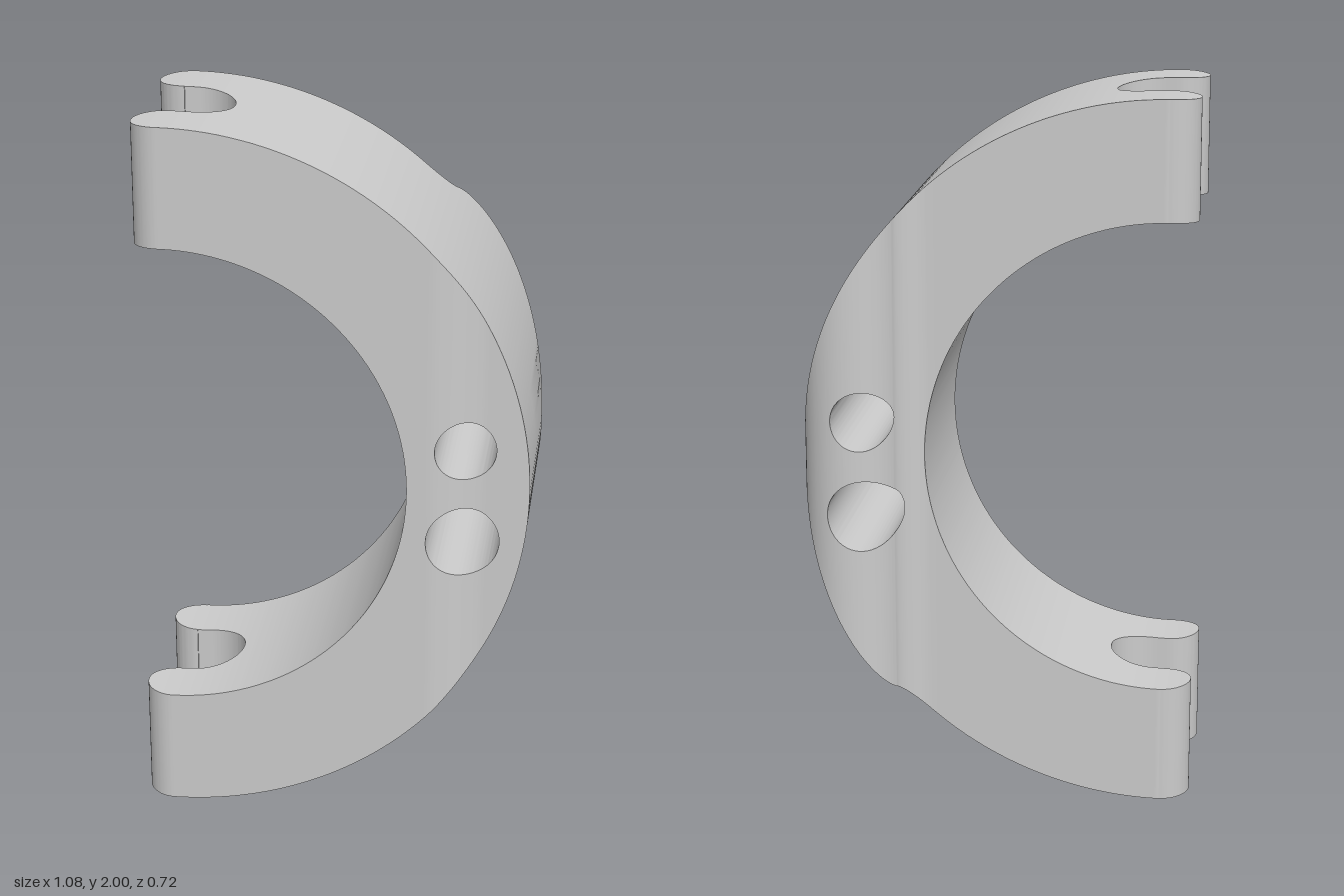
import * as THREE from 'three';
import { toCreasedNormals } from 'three/addons/utils/BufferGeometryUtils.js';

// circles seen from the front (x, y)
const OUTER = { x: -0.46, y: 1, r: 1 };
const INNER = { x: -0.46, y: 1, r: 0.667 };
const HOLES = [{ x: 0.365, y: 1.12, r: 0.083 }, { x: 0.36, y: 0.851, r: 0.1 }];
// circles seen from above (x, z)
const TIP_FRONT = { x: -0.457, y: 0.272, r: 0.083 };
const TIP_BACK = { x: -0.457, y: -0.1415, r: 0.083 };
const SLOT = { x: -0.418, y: 0.066, r: 0.123 };
const BUMP = { x: 0.404, y: -0.226, r: 0.136 };
const FILLET = { x: 0.19, y: -0.328, r: 0.102 };
const FILLET_END = 0.282;

// half height of a circle at x
const half = (c, x) => Math.sqrt(Math.max(0, c.r * c.r - (x - c.x) ** 2));

// front and back outline in z, and the slot between the prongs
function frontZ(x) {
  if (x < TIP_FRONT.x) return TIP_FRONT.y + half(TIP_FRONT, x);
  return 0.355 - 0.035 * THREE.MathUtils.smoothstep(x, 0.265, 0.42);
}
function backZ(x) {
  if (x < TIP_BACK.x) return TIP_BACK.y - half(TIP_BACK, x);
  if (x < FILLET.x) return -0.2255;
  if (x < FILLET_END) return FILLET.y + half(FILLET, x);
  return BUMP.y - half(BUMP, x);
}
function slotZ(x) {
  if (x < TIP_FRONT.x) return [TIP_BACK.y + half(TIP_BACK, x), TIP_FRONT.y - half(TIP_FRONT, x)];
  const h = x < SLOT.x ? SLOT.r : half(SLOT, x);
  return [SLOT.y - h, SLOT.y + h];
}

// x stations, evenly spaced in angle along every arc
function stations() {
  const xs = [FILLET.x, FILLET_END, TIP_FRONT.x, SLOT.x, -0.54, 0.54];
  const arc = (c, n) => {
    for (let i = 0; i <= n; i++) xs.push(c.x + c.r * Math.cos((Math.PI * i) / n));
  };
  arc(OUTER, 96);
  arc(INNER, 72);
  HOLES.forEach((h) => arc(h, 28));
  [TIP_FRONT, SLOT, BUMP].forEach((c) => arc(c, 28));
  for (let i = 0; i <= 12; i++) xs.push(0.19 + (0.23 * i) / 12);
  xs.sort((a, b) => a - b);
  const out = [];
  for (const x of xs) {
    if (x < -0.5401 || x > 0.5401) continue;
    if (!out.length || x - out[out.length - 1] > 1e-6) out.push(x);
  }
  return out;
}

// solid y spans at x: the outer circle minus the given openings
function spansY(x, gaps) {
  const h = half(OUTER, x);
  const clamp = (y) => Math.min(1 + h, Math.max(1 - h, y));
  const ys = [1 + h];
  for (const g of gaps) ys.push(clamp(g.y + half(g, x)), clamp(g.y - half(g, x)));
  ys.push(1 - h);
  const spans = [];
  for (let i = 0; i < ys.length; i += 2) spans.push([ys[i + 1], ys[i]]);
  return spans;
}
// solid z spans at x: back prong, front prong
function spansZ(x) {
  const [s0, s1] = slotZ(x);
  return [[backZ(x), s0], [s1, frontZ(x)]];
}

function clampGeometry() {
  const pos = [];
  const tri = (a, b, c) => {
    const u = new THREE.Vector3().subVectors(b, a);
    const v = new THREE.Vector3().subVectors(c, a);
    if (u.cross(v).lengthSq() < 1e-20) return;
    for (const p of [a, b, c]) pos.push(p.x, p.y, p.z);
  };
  const quad = (a, b, c, d) => { tri(a, b, c); tri(a, c, d); };
  const xs = stations();

  for (let i = 0; i + 1 < xs.length; i++) {
    const x = [xs[i], xs[i + 1]];
    const gaps = (x[0] + x[1]) / 2 < INNER.x + INNER.r ? [INNER] : HOLES;
    const Y = x.map((v) => spansY(v, gaps));
    const Z = x.map(spansZ);
    // an opening that is closed at both stations needs no wall
    const open = (S, hi, lo) =>
      !S[0][hi] || !S[0][lo] || [0, 1].some((k) => Math.abs(S[k][hi][0] - S[k][lo][1]) > 1e-6);

    for (let j = 0; j < Y[0].length; j++) {
      for (let k = 0; k < 2; k++) {
        const P = (s, yy, zz) => new THREE.Vector3(x[s], Y[s][j][yy], Z[s][k][zz]);
        // walls facing up and down
        if (open(Y, j - 1, j)) quad(P(0, 1, 0), P(0, 1, 1), P(1, 1, 1), P(1, 1, 0));
        if (open(Y, j, j + 1)) quad(P(0, 0, 0), P(1, 0, 0), P(1, 0, 1), P(0, 0, 1));
        // walls facing front and back
        if (open(Z, k + 1, k)) quad(P(0, 0, 1), P(1, 0, 1), P(1, 1, 1), P(0, 1, 1));
        if (open(Z, k, k - 1)) quad(P(0, 0, 0), P(0, 1, 0), P(1, 1, 0), P(1, 0, 0));
      }
    }
  }
  const geo = new THREE.BufferGeometry();
  geo.setAttribute('position', new THREE.Float32BufferAttribute(pos, 3));
  return toCreasedNormals(geo, 0.6);
}

export function createModel() {
  const group = new THREE.Group();
  group.name = 'halfRingClamp';
  // half ring with slotted ends, rear bulge and two through holes
  const body = new THREE.Mesh(clampGeometry(), new THREE.MeshStandardMaterial({ color: 0xcccccc }));
  body.name = 'clampBody';
  group.add(body);
  return group;
}
